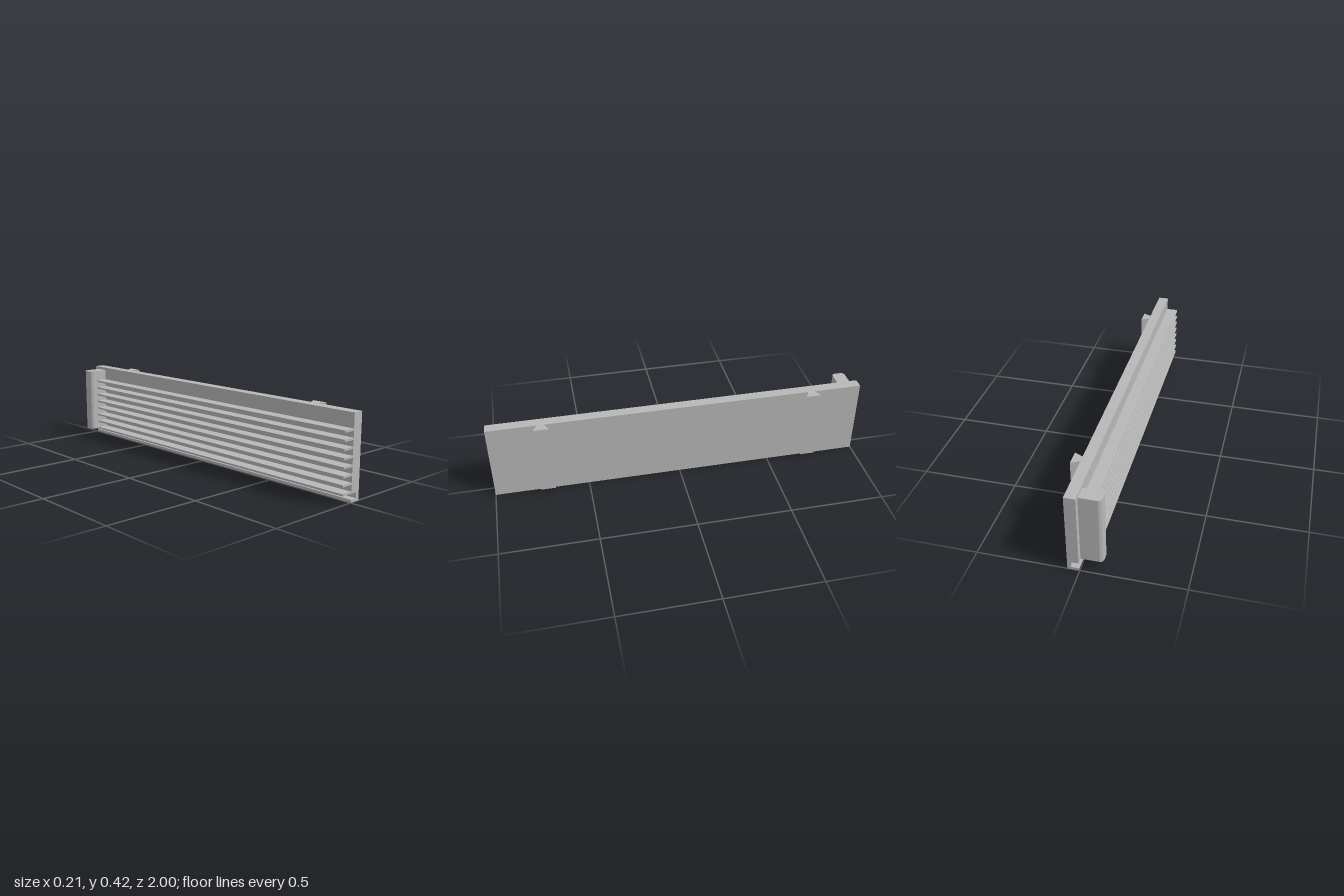
import * as THREE from 'three';
import { toCreasedNormals } from 'three/addons/utils/BufferGeometryUtils.js';

const grey = new THREE.MeshStandardMaterial({ color: 0xb8b8b8 });
grey.name = 'plain grey';

const polygon = (points) => new THREE.Shape(points.map(([x, y]) => new THREE.Vector2(x, y)));

// Extrude an (x, -z) outline upwards from y0 to y1
function upright(shape, y0, y1) {
  const geometry = new THREE.ExtrudeGeometry(shape, { depth: y1 - y0, bevelEnabled: false, curveSegments: 10 });
  geometry.rotateX(-Math.PI / 2).translate(0, y0, 0);
  return toCreasedNormals(geometry, 0.6);
}

export function createModel() {
  const model = new THREE.Group();
  model.name = 'finnedPanel';
  const add = (name, geometry) => {
    const mesh = new THREE.Mesh(geometry, grey);
    mesh.name = name;
    model.add(mesh);
    return mesh;
  };

  // Long panel with a slot along its lower inner edge
  const inner = 0.004, outer = 0.059, top = 0.42;
  const profile = polygon([
    [inner, 0], [outer, 0], [outer, top], [inner, top],
    [inner, 0.043], [0.041, 0.043], [0.041, 0.014], [inner, 0.014],
  ]);
  add('panel', new THREE.ExtrudeGeometry(profile, { depth: 2, bevelEnabled: false }).translate(0, 0, -1));

  // Eight thin fins running from the end block to the front
  for (let i = 0; i < 8; i++) {
    const fin = add('fin' + (i + 1), new THREE.BoxGeometry(0.063, 0.01, 1.9));
    fin.position.set(-0.0275, 0.048 + i * 0.042, 0.05);
  }

  // Upright end block with rounded outer corners
  const left = -0.104, near = 0.9, far = 0.97, r = 0.02;
  const block = new THREE.Shape();
  block.moveTo(inner, near);
  block.lineTo(inner, far);
  block.lineTo(left + r, far);
  block.absarc(left + r, far - r, r, Math.PI / 2, Math.PI, false);
  block.lineTo(left, near + r);
  block.absarc(left + r, near + r, r, Math.PI, Math.PI * 1.5, false);
  block.closePath();
  add('endBlock', upright(block, 0.045, 0.405));

  // Two dovetail rails on the outer face
  const dovetail = polygon([[outer, -0.018], [0.102, -0.04], [0.102, 0.04], [outer, 0.018]]);
  for (const [name, z] of [['frontRail', 0.722], ['backRail', -0.722]]) {
    add(name, upright(dovetail, 0.03, top)).position.z = z;
  }
  return model;
}
